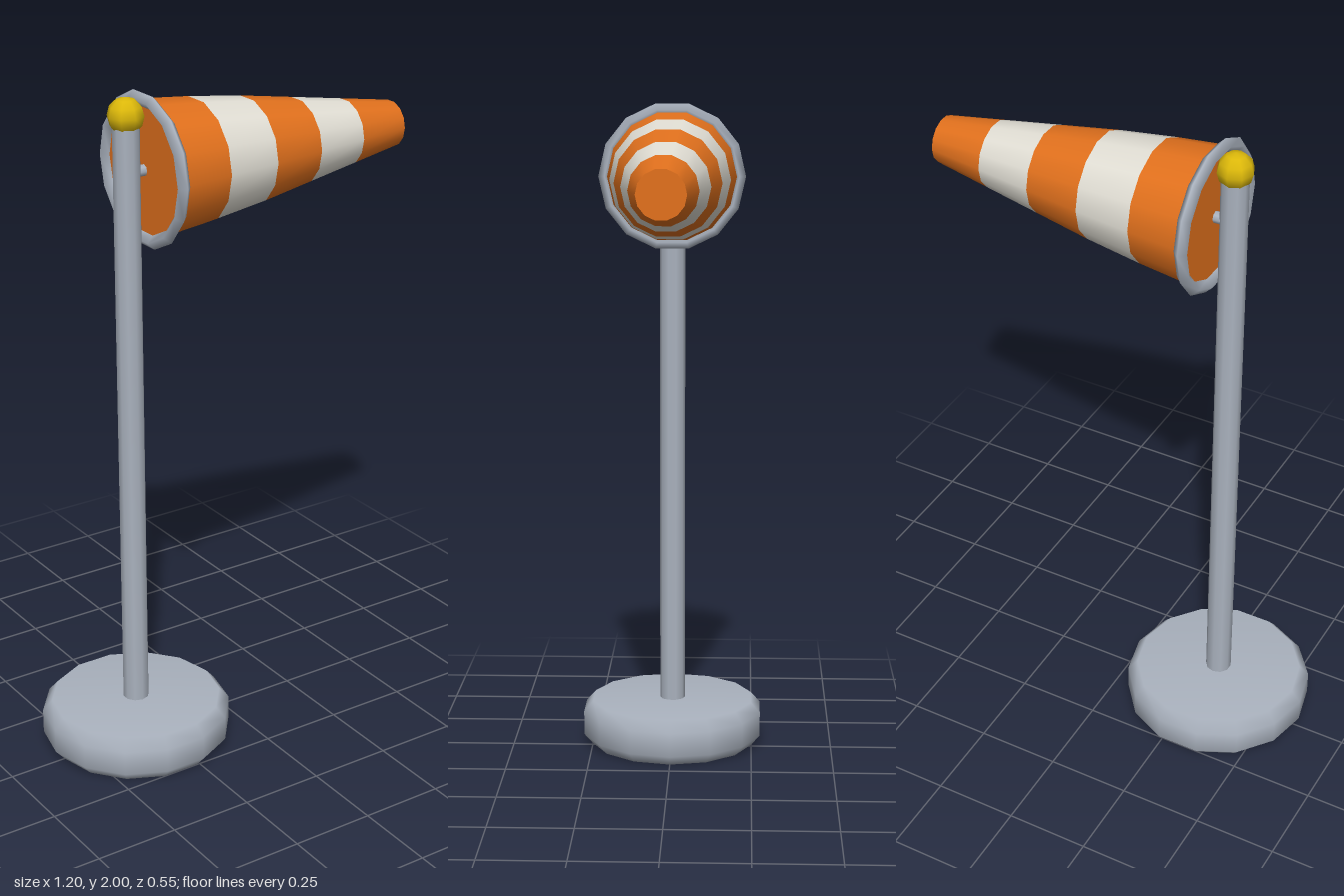
import * as THREE from 'three';

const SIDES = 14;
const POLE_X = -0.316;
const SOCK_Y = 1.785;

const material = (name, color) => {
  const m = new THREE.MeshStandardMaterial({ color });
  m.name = name;
  return m;
};

export function createModel() {
  const grey = material('grey metal', 0xaab2be);
  const orange = material('orange fabric', 0xe2711d);
  const white = material('white fabric', 0xe2dfd5);
  const yellow = material('yellow', 0xdcb80a);

  const model = new THREE.Group();
  model.name = 'windsock';

  const add = (name, geometry, mat, x, y, z = 0, parent = model) => {
    const mesh = new THREE.Mesh(geometry, mat);
    mesh.name = name;
    mesh.position.set(x, y, z);
    parent.add(mesh);
    return mesh;
  };
  const lathe = (pts, start = 0) =>
    new THREE.LatheGeometry(pts.map(([r, y]) => new THREE.Vector2(r, y)), SIDES, start);

  // Weighted foot with bevelled edges
  const foot = [[0, 0], [0.255, 0], [0.284, 0.033], [0.284, 0.107], [0.255, 0.14], [0, 0.14]];
  add('base', lathe(foot, Math.PI / 2), grey, POLE_X, 0);

  // Mast and its finial
  add('pole', new THREE.CylinderGeometry(0.039, 0.039, 1.8, 10), grey, POLE_X, 1.02);
  add('finial', new THREE.SphereGeometry(0.053, 8, 6), yellow, POLE_X, 1.947);

  // Peg joining the mast to the sock
  const peg = new THREE.CylinderGeometry(0.017, 0.017, 0.07, 8).rotateZ(Math.PI / 2);
  add('peg', peg, grey, -0.285, SOCK_Y);

  // Hoop around the mouth
  const hoop = new THREE.TorusGeometry(0.203, 0.02, 4, SIDES).rotateY(Math.PI / 2);
  add('hoop', hoop, grey, -0.26, SOCK_Y);

  // Tapering sock: five alternating bands along +x, capped at both ends
  const sock = new THREE.Group();
  sock.name = 'sock';
  sock.position.set(-0.26, SOCK_Y, 0);
  model.add(sock);
  const radii = [0.197, 0.179, 0.156, 0.127, 0.098, 0.069];
  const step = 0.172;
  for (let i = 0; i < 5; i++) {
    const band = lathe([[radii[i], 0], [radii[i + 1], step]]).rotateZ(-Math.PI / 2);
    add('band' + (i + 1), band, i % 2 ? white : orange, i * step, 0, 0, sock);
  }
  const cap = (name, r, x, dir) =>
    add(name, new THREE.CircleGeometry(r, SIDES).rotateY(dir * Math.PI / 2), orange, x, 0, 0, sock);
  cap('mouthCap', radii[0], 0, -1);
  cap('tipCap', radii[5], 5 * step, 1);

  return model;
}
